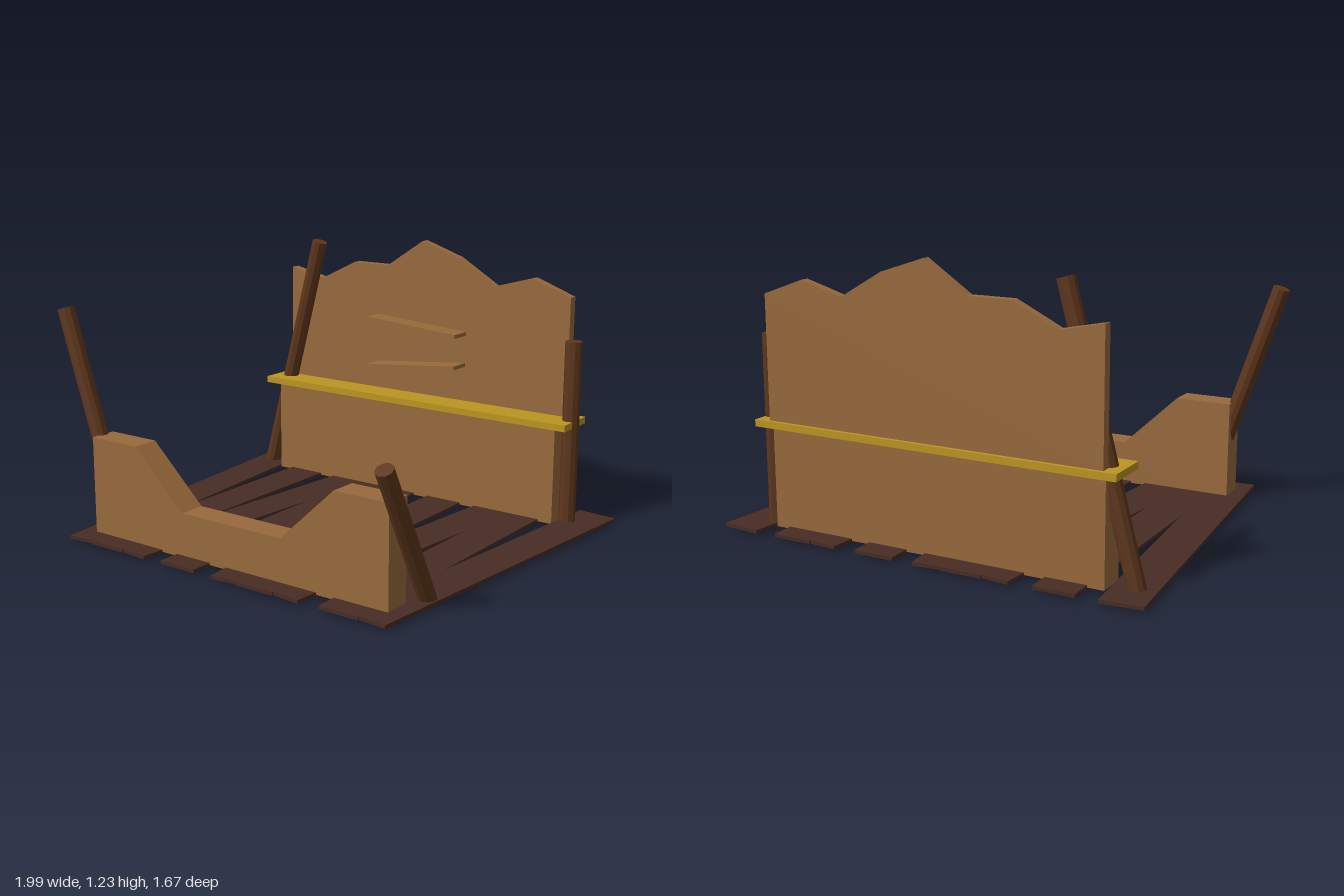
import * as THREE from 'three';

const mat = (name, color) => {
  const m = new THREE.MeshStandardMaterial({ color, flatShading: true });
  m.name = name;
  return m;
};

export function createModel() {
  const bed = new THREE.Group();
  bed.name = 'bed';

  const panelWood = mat('panel wood', 0x986a3c);
  const plankWood = mat('dark plank wood', 0x472c23);
  const postWood = mat('post wood', 0x5e361c);
  const gold = mat('gold trim', 0xbd9521);

  const add = (name, geometry, material) => {
    const mesh = new THREE.Mesh(geometry, material);
    mesh.name = name;
    bed.add(mesh);
    return mesh;
  };

  // Box given by its minimum and maximum corners
  const block = (name, material, [x0, y0, z0], [x1, y1, z1]) => {
    const mesh = add(name, new THREE.BoxGeometry(x1 - x0, y1 - y0, z1 - z0), material);
    mesh.position.set((x0 + x1) / 2, (y0 + y1) / 2, (z0 + z1) / 2);
    return mesh;
  };

  // Upright board cut from an outline in x and y
  const board = (name, outline, z0, z1) => {
    const shape = new THREE.Shape(outline.map(([x, y]) => new THREE.Vector2(x, y)));
    const geometry = new THREE.ExtrudeGeometry(shape, { depth: z1 - z0, bevelEnabled: false });
    add(name, geometry.translate(0, 0, z0), panelWood);
  };

  // Round post between two points
  const post = (name, from, to) => {
    const a = new THREE.Vector3(...from);
    const b = new THREE.Vector3(...to);
    const mesh = add(name, new THREE.CylinderGeometry(0.038, 0.038, a.distanceTo(b), 10), postWood);
    mesh.position.copy(a).lerp(b, 0.5);
    mesh.quaternion.setFromUnitVectors(new THREE.Vector3(0, 1, 0), b.sub(a).normalize());
  };

  // Floor planks: centre x and slant (+1 turns the front end towards +x)
  const planks = [
    [-0.80, 1], [-0.597, 0], [-0.39, -1], [-0.19, 0], [0.015, 1],
    [0.22, 0], [0.425, -1], [0.63, 0], [0.832, -1],
  ];
  planks.forEach(([x, slant], i) => {
    const plank = add(`floorPlank${i + 1}`, new THREE.BoxGeometry(0.182, 0.015, 1.635), plankWood);
    plank.position.set(x, 0.027, -0.018);
    plank.rotation.y = slant * 0.092;
  });

  // Headboard: thick base, gold shelf and jagged upper panel
  block('headboardBase', panelWood, [-0.76, 0.025, -0.73], [0.79, 0.47, -0.605]);
  block('headboardShelf', gold, [-0.82, 0.47, -0.77], [0.855, 0.5, -0.57]);
  board('headboardPanel', [
    [-0.76, 0.5], [0.79, 0.5], [0.79, 1.04], [0.6, 1.11], [0.405, 1.055], [0.21, 1.17],
    [0.015, 1.235], [-0.18, 1.105], [-0.375, 1.105], [-0.57, 1.01], [-0.76, 1.05],
  ], -0.753, -0.71);

  // Two crooked slats on the headboard
  [['upperSlat', 0.838, -0.073], ['lowerSlat', 0.648, 0.1]].forEach(([name, y, tilt]) => {
    const slat = block(name, panelWood, [-0.23, y - 0.009, -0.712], [0.262, y + 0.009, -0.607]);
    slat.rotation.z = tilt;
  });

  // Footboard with a dropped middle
  board('footboard', [
    [-0.76, 0.025], [0.79, 0.025], [0.79, 0.465], [0.535, 0.465],
    [0.275, 0.22], [-0.245, 0.22], [-0.505, 0.465], [-0.76, 0.465],
  ], 0.58, 0.7);

  // Leaning posts
  post('backRightPost', [-0.872, 0.018, -0.673], [-0.56, 1.195, -0.673]);
  post('backLeftPost', [0.832, 0.012, -0.673], [0.832, 0.857, -0.673]);
  post('frontRightPost', [-0.637, 0.03, 0.638], [-0.962, 1.003, 0.638]);
  post('frontLeftPost', [0.832, 0.03, 0.49], [0.832, 0.622, 0.797]);

  return bed;
}
